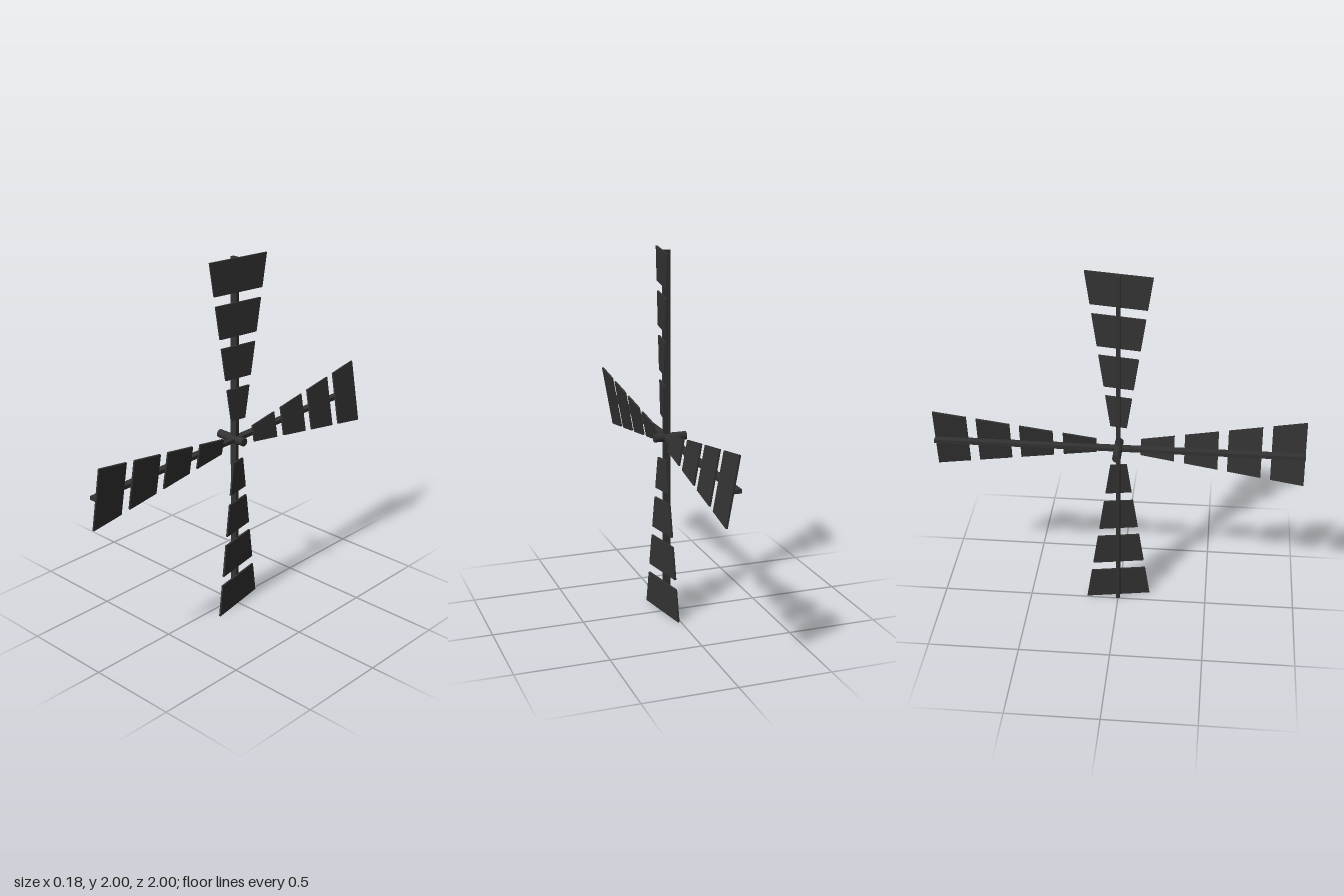
import * as THREE from 'three';

const dark = new THREE.MeshStandardMaterial({ color: 0x333333 });
const TILT = THREE.MathUtils.degToRad(10);
const THICK = 0.01;

// Half width of the sail at a given distance from the hub
const halfWidth = (r) => 0.045 + 0.153 * (r - 0.12);

// One tapering slat, with its mid-plane at local z = 0
function slatGeometry(r0, r1) {
  const a = halfWidth(r0), b = halfWidth(r1);
  const shape = new THREE.Shape();
  shape.moveTo(-a, r0);
  shape.lineTo(a, r0);
  shape.lineTo(b, r1);
  shape.lineTo(-b, r1);
  shape.closePath();
  const geo = new THREE.ExtrudeGeometry(shape, { depth: THICK, bevelEnabled: false });
  return geo.translate(0, 0, -THICK / 2);
}

export function createModel() {
  const model = new THREE.Group();
  model.name = 'windmillSails';

  const rotor = new THREE.Group();
  rotor.name = 'rotor';
  rotor.position.y = 1;
  model.add(rotor);

  // Axle along x
  const axle = new THREE.Mesh(new THREE.CylinderGeometry(0.023, 0.023, 0.18, 16), dark);
  axle.name = 'axle';
  axle.rotation.z = Math.PI / 2;
  rotor.add(axle);

  // Two crossing spars, each carrying a sail at both ends
  for (let i = 0; i < 2; i++) {
    const spar = new THREE.Mesh(new THREE.BoxGeometry(0.04, 2, 0.02), dark);
    spar.name = 'spar';
    spar.position.x = 0.02;
    spar.rotation.x = (i * Math.PI) / 2;
    rotor.add(spar);
  }

  // Four sails of four pitched slats, repeated around the axle
  const slats = [[0.12, 0.3], [0.355, 0.535], [0.587, 0.767], [0.82, 1]].map(([a, b]) => slatGeometry(a, b));
  for (let k = 0; k < 4; k++) {
    const sail = new THREE.Group();
    sail.name = 'sail';
    sail.rotation.x = (k * Math.PI) / 2;
    for (const geo of slats) {
      const slat = new THREE.Mesh(geo, dark);
      slat.name = 'slat';
      slat.position.x = 0.043;
      slat.rotation.y = Math.PI / 2 - TILT;
      sail.add(slat);
    }
    rotor.add(sail);
  }
  return model;
}
